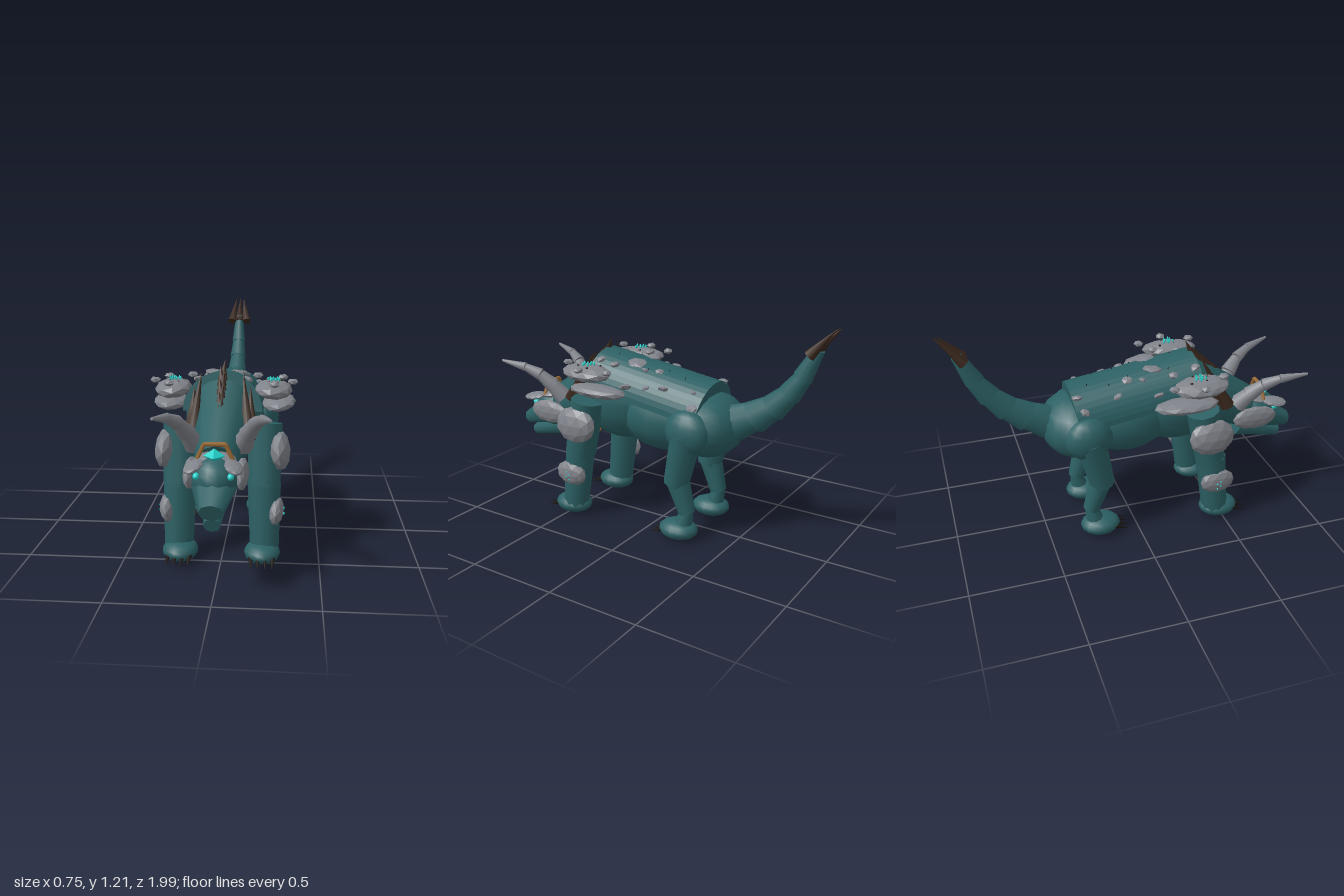
import * as THREE from 'three';

const mat = (name, color) => {
  const m = new THREE.MeshStandardMaterial({ color });
  m.name = name;
  return m;
};

export function createModel() {
  const root = new THREE.Group();
  root.name = 'hornedBeast';
  const teal = mat('teal hide', 0x2c6064), stone = mat('grey stone', 0x80838a);
  const brown = mat('brown spine', 0x3a281d), gold = mat('gold', 0x9a6c38);
  const cyan = mat('cyan crystal', 0x25d3cb), dark = mat('dark claw', 0x1c1816);
  const UP = new THREE.Vector3(0, 1, 0);

  const add = (name, geo, m, pos = [0, 0, 0], parent = root) => {
    const mesh = new THREE.Mesh(geo, m);
    mesh.name = name;
    mesh.position.set(...pos);
    parent.add(mesh);
    return mesh;
  };
  // Tapered cylinder from point a to point b; wx widens it sideways
  const limb = (name, a, b, ra, rb, m = teal, sides = 10, wx = 1) => {
    const A = new THREE.Vector3(...a), B = new THREE.Vector3(...b);
    const d = B.clone().sub(A);
    const mesh = add(name, new THREE.CylinderGeometry(rb, ra, d.length(), sides), m,
      A.clone().add(B).multiplyScalar(0.5).toArray());
    mesh.quaternion.setFromUnitVectors(UP, d.normalize());
    mesh.scale.set(wx, 1, 1);
    return mesh;
  };
  const ball = (name, pos, r, m = teal) => {
    const mesh = add(name, new THREE.SphereGeometry(1, 14, 10), m, pos);
    mesh.scale.set(...r);
    return mesh;
  };
  // Faceted stone, flat shaded through its unshared vertices
  const rock = (name, pos, r, rot = [0, 0, 0], detail = 1, m = stone) => {
    const geo = new THREE.IcosahedronGeometry(1, detail).scale(...r);
    geo.computeVertexNormals();
    const mesh = add(name, geo, m, pos);
    mesh.rotation.set(...rot);
    return mesh;
  };

  // Torso
  ball('chest', [0, 0.70, 0.27], [0.2, 0.24, 0.27]);
  ball('belly', [0, 0.64, -0.02], [0.2, 0.2, 0.28]);
  ball('rump', [0, 0.63, -0.3], [0.235, 0.175, 0.19]);
  limb('neck', [0, 0.76, 0.3], [0, 0.58, 0.7], 0.2, 0.125, teal, 10, 0.85);

  // Arched back shell, sloping down to the rear
  const arch = new THREE.Shape();
  arch.absellipse(0, 0, 0.2, 0.2, 0, Math.PI, false);
  arch.closePath();
  const shell = add('backShell', new THREE.ExtrudeGeometry(arch,
    { depth: 0.71, bevelEnabled: false, curveSegments: 10 }), teal, [0, 0.67, -0.31]);
  shell.rotation.x = -0.148;
  const backY = (x, z) => 0.868 + 0.148 * (z + 0.34) - 0.2 * (1 - Math.sqrt(1 - (x / 0.2) ** 2));

  // Small stones scattered over the back
  [[0.18, -0.29, 0.03], [0.13, -0.27, 0.02], [0.155, -0.1, 0.03], [0.17, 0, 0.025], [0.08, -0.03, 0.025],
    [0.1, 0.05, 0.022], [0.185, 0.12, 0.035], [0.12, 0.33, 0.03], [-0.17, -0.28, 0.03], [-0.11, -0.31, 0.03],
    [-0.15, -0.1, 0.028], [-0.09, -0.03, 0.03], [-0.11, 0.05, 0.02], [-0.18, 0.12, 0.03], [-0.12, 0.34, 0.03],
    [0.07, 0.12, 0.055], [-0.065, 0.12, 0.055]]
    .forEach(([x, z, r], i) => rock('backStone', [x, backY(x, z), z], [r, r * (r > 0.05 ? 0.25 : 0.5), r * 1.1],
      [-0.1, i * 1.7, -x * 3], 0));
  for (let i = 0; i < 10; i++) {
    const x = (i % 2 ? 1 : -1) * (0.05 + 0.02 * (i % 3)), z = -0.24 + i * 0.055;
    add('backStud', new THREE.ConeGeometry(0.007, 0.02, 4), i > 7 ? brown : dark, [x, backY(x, z), z]);
  }

  // Tail of overlapping segments with three spikes
  const tail = [[0.65, -0.42, 0.105], [0.715, -0.56, 0.088], [0.78, -0.66, 0.074], [0.865, -0.745, 0.062],
    [0.96, -0.81, 0.052], [1.10, -0.875, 0.036]];
  for (let i = 0; i < 5; i++) {
    const [y0, z0, r0] = tail[i], [y1, z1, r1] = tail[i + 1];
    limb('tailSegment', [0, y0, z0], [0, y1 + 0.012, z1 - 0.012], r0, r1 * 0.86, teal, 10, 0.8);
  }
  for (const x of [-1, 0, 1])
    limb('tailSpike', [x * 0.046, 1.085, -0.855], [x * 0.022, 1.222, x ? -0.975 : -0.99], 0.03, 0.001, brown, 6);

  // Spine ridge along the neck
  for (let i = 0; i < 12; i++) {
    const t = i / 11, y = 0.68 + 0.25 * t, z = 0.69 - 0.31 * t;
    limb('neckSpine', [0, y, z], [(i % 2 - 0.5) * 0.02, y + 0.055 + 0.04 * t, z - 0.045], 0.026, 0.001, brown, 5);
  }

  // Head
  ball('skull', [0, 0.55, 0.76], [0.118, 0.115, 0.15]);
  limb('snout', [0, 0.54, 0.76], [0, 0.45, 0.98], 0.095, 0.045, teal, 8, 1.3);
  limb('lowerJaw', [0, 0.46, 0.66], [0, 0.375, 0.935], 0.065, 0.036, teal, 8, 1.1);
  rock('foreheadPlate', [0, 0.635, 0.77], [0.1, 0.028, 0.08], [0.15, 0, 0]);
  const gem = add('foreheadGem', new THREE.OctahedronGeometry(1), cyan, [0, 0.665, 0.815]);
  gem.scale.set(0.05, 0.035, 0.055);
  const bars = [[-0.085, 0.635], [-0.05, 0.712], [0.05, 0.712], [0.085, 0.635]];
  for (let i = 0; i < 3; i++)
    limb('crownBar', [...bars[i], 0.79], [...bars[i + 1], 0.79], 0.011, 0.011, gold, 6);

  // Chest pendant
  const collar = add('pendantArc', new THREE.TorusGeometry(0.115, 0.014, 6, 12, Math.PI), gold, [0, 0.53, 0.5]);
  collar.rotation.z = Math.PI;
  const drop = add('pendantGem', new THREE.OctahedronGeometry(1), cyan, [0, 0.49, 0.51]);
  drop.scale.set(0.045, 0.045, 0.025);
  rock('pendantBase', [0, 0.425, 0.49], [0.03, 0.025, 0.02], [0, 0, 0], 0, gold);

  // Mirrored parts
  for (const s of [1, -1]) {
    const foot = (x, z, name) => {
      ball(name + 'Foot', [s * x, 0.065, z], [0.092, 0.055, 0.112]);
      for (let i = 0; i < 4; i++) {
        const cx = s * x + (i - 1.5) * 0.036, out = Math.abs(i - 1.5) * 0.01;
        limb(name + 'Claw', [cx, 0.06, z + 0.085 - out], [cx, 0.035, z + 0.16 - out], 0.015, 0.001, dark, 5);
      }
    };
    // Face
    ball('eye', [s * 0.078, 0.582, 0.865], [0.016, 0.016, 0.02], cyan);
    rock('browPlate', [s * 0.092, 0.625, 0.855], [0.045, 0.018, 0.075], [0.15, s * 0.15, s * -0.25]);
    rock('cheekPlate', [s * 0.122, 0.555, 0.725], [0.032, 0.07, 0.135], [0, 0, 0]);

    // Horn
    const horn = [[0.115, 0.66, 0.61, 0.055], [0.145, 0.73, 0.665, 0.046], [0.18, 0.795, 0.73, 0.036],
      [0.215, 0.835, 0.81, 0.026], [0.258, 0.865, 0.95, 0.008]];
    for (let i = 0; i < 4; i++) {
      const [x0, y0, z0, r0] = horn[i], [x1, y1, z1, r1] = horn[i + 1];
      limb('hornSegment', [s * x0, y0, z0], [s * x1, y1, z1], r0, r1 * 0.88, stone, 7);
    }
    // Side neck spines
    limb('sideSpine', [s * 0.14, 0.67, 0.54], [s * 0.105, 0.97, 0.38], 0.04, 0.001, brown, 6);
    limb('sideSpine', [s * 0.15, 0.7, 0.47], [s * 0.14, 0.9, 0.38], 0.035, 0.001, brown, 6);

    // Front leg
    limb('upperArm', [s * 0.215, 0.71, 0.36], [s * 0.215, 0.39, 0.42], 0.092, 0.086);
    limb('forearm', [s * 0.215, 0.41, 0.42], [s * 0.22, 0.07, 0.46], 0.085, 0.074);
    foot(0.21, 0.485, 'front');
    rock('shoulderPlate', [s * 0.29, 0.58, 0.39], [0.055, 0.105, 0.13], [0, 0, s * 0.1]);
    rock('forearmPlate', [s * 0.275, 0.275, 0.445], [0.042, 0.075, 0.1], [0, 0, s * -0.1]);

    // Hind leg
    ball('hip', [s * 0.19, 0.63, -0.27], [0.08, 0.12, 0.13]);
    limb('thigh', [s * 0.19, 0.62, -0.265], [s * 0.18, 0.33, -0.2], 0.085, 0.07);
    limb('shin', [s * 0.18, 0.36, -0.205], [s * 0.175, 0.17, -0.265], 0.066, 0.046);
    limb('ankle', [s * 0.175, 0.19, -0.268], [s * 0.18, 0.07, -0.24], 0.034, 0.055);
    foot(0.18, -0.215, 'hind');

    // Stone slabs over the shoulders
    rock('upperSlab', [s * 0.255, 0.88, 0.33], [0.095, 0.045, 0.16], [0, s * -0.1, s * -0.08]);
    rock('lowerSlab', [s * 0.28, 0.795, 0.24], [0.088, 0.036, 0.18], [0, 0, s * 0.08]);
    [[0.35, 0.915, 0.31], [0.3, 0.91, 0.16], [0.26, 0.925, 0.45], [0.17, 0.925, 0.2]]
      .forEach(([x, y, z], i) => rock('slabStone', [s * x, y, z], [0.03, 0.017, 0.028], [0, i, 0], 0));
    // Crystal flecks and dark pits
    for (let i = 0; i < 9; i++) {
      const a = i * 2.4, r = 0.012 * Math.sqrt(i);
      rock('crystalFleck', [s * 0.25 + r * Math.cos(a), 0.929, 0.32 + r * Math.sin(a)],
        [0.006, 0.012, 0.006], [0, a, 0], 0, cyan);
      if (i % 2) rock('stonePit', [s * 0.25 + 5 * r * 0.4 * Math.cos(a), 0.918, 0.33 + 2.4 * r * Math.sin(a)],
        [0.008, 0.006, 0.008], [0, a, 0], 0, dark);
      if (i < 4) rock('legFleck', [s * 0.317, 0.25 + i * 0.014, 0.43 + (i % 2) * 0.02],
        [0.006, 0.005, 0.005], [0, a, 0], 0, cyan);
    }
  }
  return root;
}
